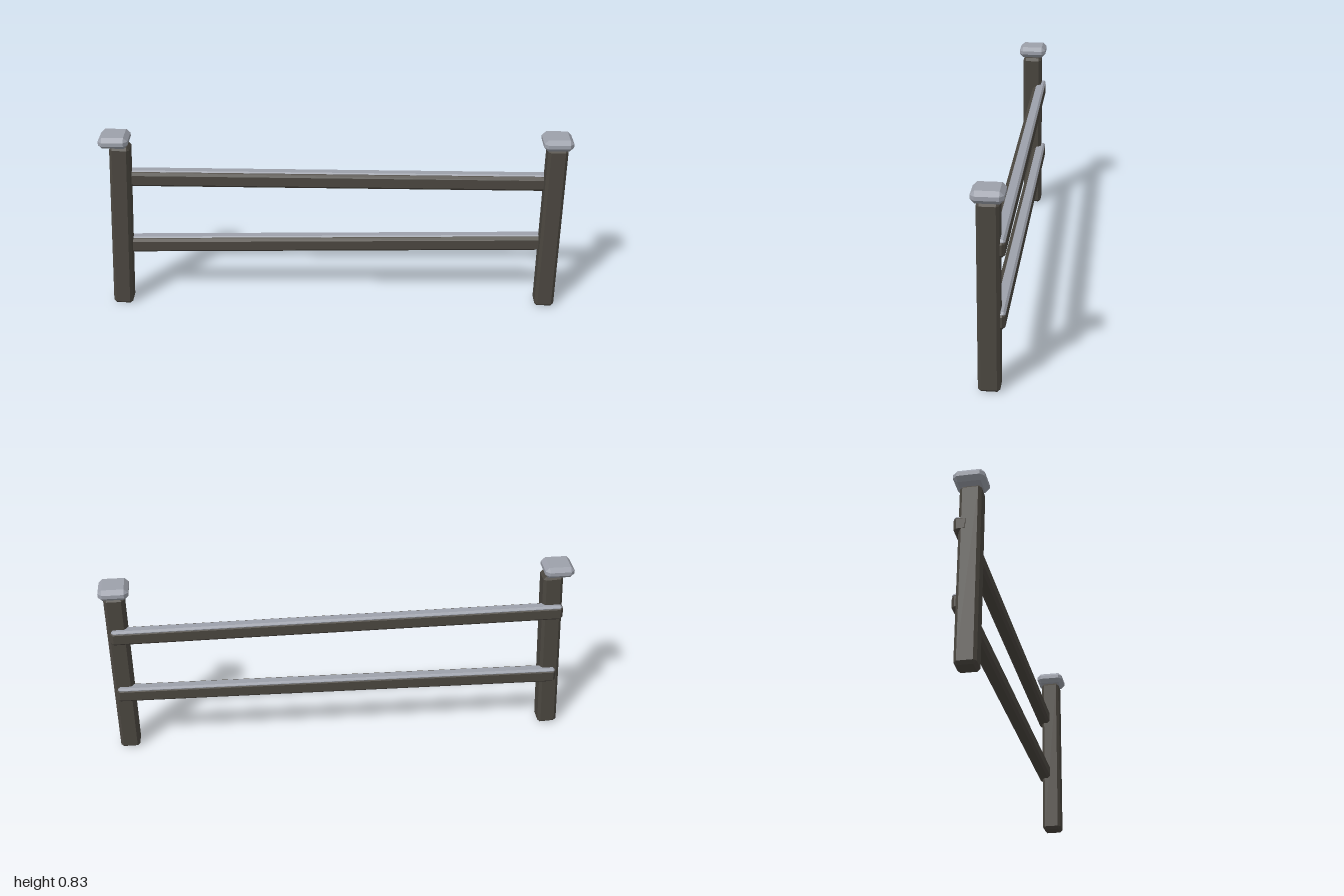
import * as THREE from 'three';
import { ConvexGeometry } from 'three/addons/geometries/ConvexGeometry.js';

// Box with all edges and corners cut at 45 degrees
function chamferedBox(w, h, d, c) {
  const points = [];
  for (const sx of [-1, 1]) for (const sy of [-1, 1]) for (const sz of [-1, 1]) {
    const x = w / 2, y = h / 2, z = d / 2;
    points.push(
      new THREE.Vector3(sx * x, sy * (y - c), sz * (z - c)),
      new THREE.Vector3(sx * (x - c), sy * y, sz * (z - c)),
      new THREE.Vector3(sx * (x - c), sy * (y - c), sz * z)
    );
  }
  return new ConvexGeometry(points);
}

export function createModel() {
  const wood = new THREE.MeshStandardMaterial({ color: 0x4b4740 });
  wood.name = 'darkWood';
  const stone = new THREE.MeshStandardMaterial({ color: 0x9da1ab });
  stone.name = 'paleGrey';

  const model = new THREE.Group();
  model.name = 'fence';

  function add(parent, name, geometry, material, x, y, z, tilt = 0) {
    const mesh = new THREE.Mesh(geometry, material);
    mesh.name = name;
    mesh.position.set(x, y, z);
    mesh.rotation.z = tilt;
    parent.add(mesh);
  }

  // Posts: the right one leans inward, both carry a level cap
  const postGeometry = chamferedBox(0.085, 0.778, 0.086, 0.012);
  const capGeometry = chamferedBox(0.125, 0.05, 0.125, 0.017);
  for (const [side, x, lean] of [['right', -0.935, -0.055], ['left', 0.937, -0.003]]) {
    add(model, side + 'Post', postGeometry, wood, x, 0.391, 0, lean);
    add(model, side + 'Cap', capGeometry, stone, Math.sign(x) * 0.9365, 0.805, 0);
  }

  // Rails: slightly sloped beams behind the posts, each with a pale top strip
  const length = 1.935;
  const beamGeometry = chamferedBox(length, 0.066, 0.058, 0.012);
  const stripGeometry = chamferedBox(length - 0.012, 0.018, 0.045, 0.008);
  for (const [name, yRight, yLeft] of [['upperRail', 0.605, 0.592], ['lowerRail', 0.274, 0.298]]) {
    const rail = new THREE.Group();
    rail.name = name;
    rail.position.set(0, (yRight + yLeft) / 2, -0.033);
    rail.rotation.z = Math.atan2(yLeft - yRight, length);
    add(rail, name + 'Beam', beamGeometry, wood, 0, 0, 0);
    add(rail, name + 'TopStrip', stripGeometry, stone, 0, 0.029, -0.0065);
    model.add(rail);
  }
  return model;
}
